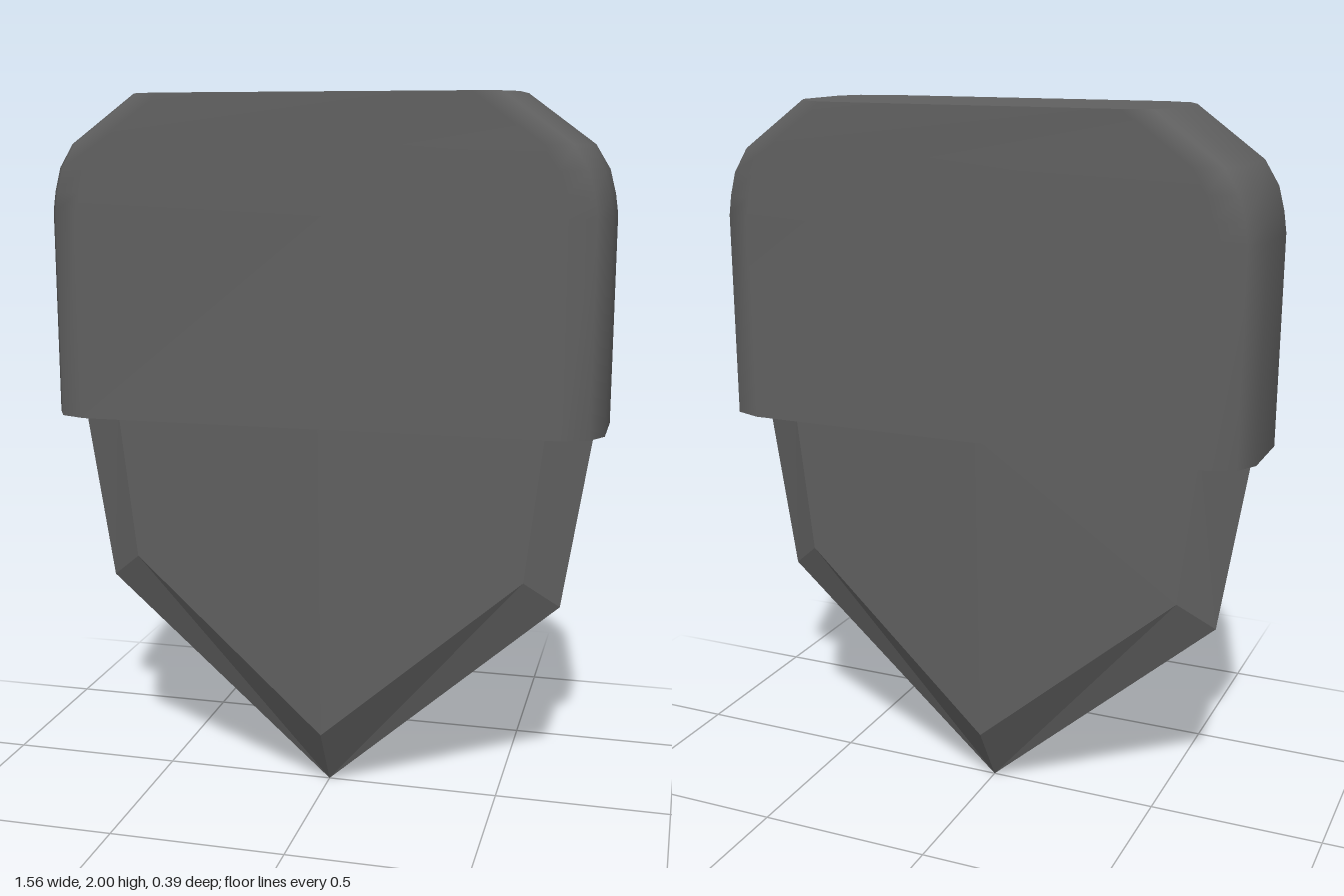
import * as THREE from 'three';

function meshFrom(name, points, index, material, flat) {
  let geometry = new THREE.BufferGeometry();
  geometry.setAttribute('position', new THREE.Float32BufferAttribute(points.flat(), 3));
  geometry.setIndex(index);
  if (flat) geometry = geometry.toNonIndexed();
  geometry.computeVertexNormals();
  const mesh = new THREE.Mesh(geometry, material);
  mesh.name = name;
  return mesh;
}

// Chamfered footprint of the cap at one height, running from +x towards +z
function capRing(w, y) {
  const quarter = [[w, 0.1], [w - 0.035, 0.165], [w - 0.11, 0.194]];
  const half = [...quarter, ...quarter.map(([x, z]) => [-x, z]).reverse()];
  return [...half, ...half.map(([x, z]) => [-x, -z])].map(([x, z]) => [x, y, z]);
}

function fan(count, up) {
  const index = [];
  for (let j = 1; j < count - 1; j++) index.push(0, ...(up ? [j + 1, j] : [j, j + 1]));
  return index;
}

export function createModel() {
  const model = new THREE.Group();
  const grey = new THREE.MeshStandardMaterial({ color: 0x606060 });
  grey.name = 'dark grey';

  // Cap: smooth rounded sides with flat ends
  const profile = [[0.78, 1.105], [0.78, 1.68], [0.772, 1.735], [0.755, 1.8], [0.715, 1.865], [0.53, 2]];
  const rings = profile.map(([w, y]) => capRing(w, y));
  const n = rings[0].length;
  const sides = [];
  for (let i = 0; i < rings.length - 1; i++) {
    for (let j = 0; j < n; j++) {
      const a = i * n + j, b = i * n + (j + 1) % n;
      sides.push(a, a + n, b, b, a + n, b + n);
    }
  }
  const cap = new THREE.Group();
  cap.name = 'cap';
  cap.add(
    meshFrom('capSides', rings.flat(), sides, grey, false),
    meshFrom('capTop', rings.at(-1), fan(n, true), grey, true),
    meshFrom('capUnderside', rings[0], fan(n, false), grey, true),
  );
  model.add(cap);

  // Blade: pointed, with a central ridge and bevelled edges, one face per side
  const top = 1.105;
  const points = [
    [0, top, 0.14], [0, 0.18, 0.107],                          // ridge
    [0.62, top, 0.06], [0.57, 0.67, 0.06],                     // right inner bevel
    [0.747, top, 0], [0.668, 0.59, 0], [0, 0, 0],              // outer edge
    [-0.62, top, 0.06], [-0.57, 0.67, 0.06],                   // left inner bevel
    [-0.747, top, 0], [-0.668, 0.59, 0],
  ];
  const right = [0, 1, 3, 0, 3, 2, 2, 3, 5, 2, 5, 4, 3, 1, 6, 3, 6, 5];
  const swap = { 2: 7, 3: 8, 4: 9, 5: 10 };
  const left = right.map((i) => swap[i] ?? i).reverse();
  const blade = new THREE.Group();
  blade.name = 'blade';
  const front = meshFrom('bladeFront', points, [...right, ...left], grey, true);
  const back = front.clone();
  back.name = 'bladeBack';
  back.rotation.y = Math.PI;
  blade.add(front, back);
  model.add(blade);

  return model;
}
